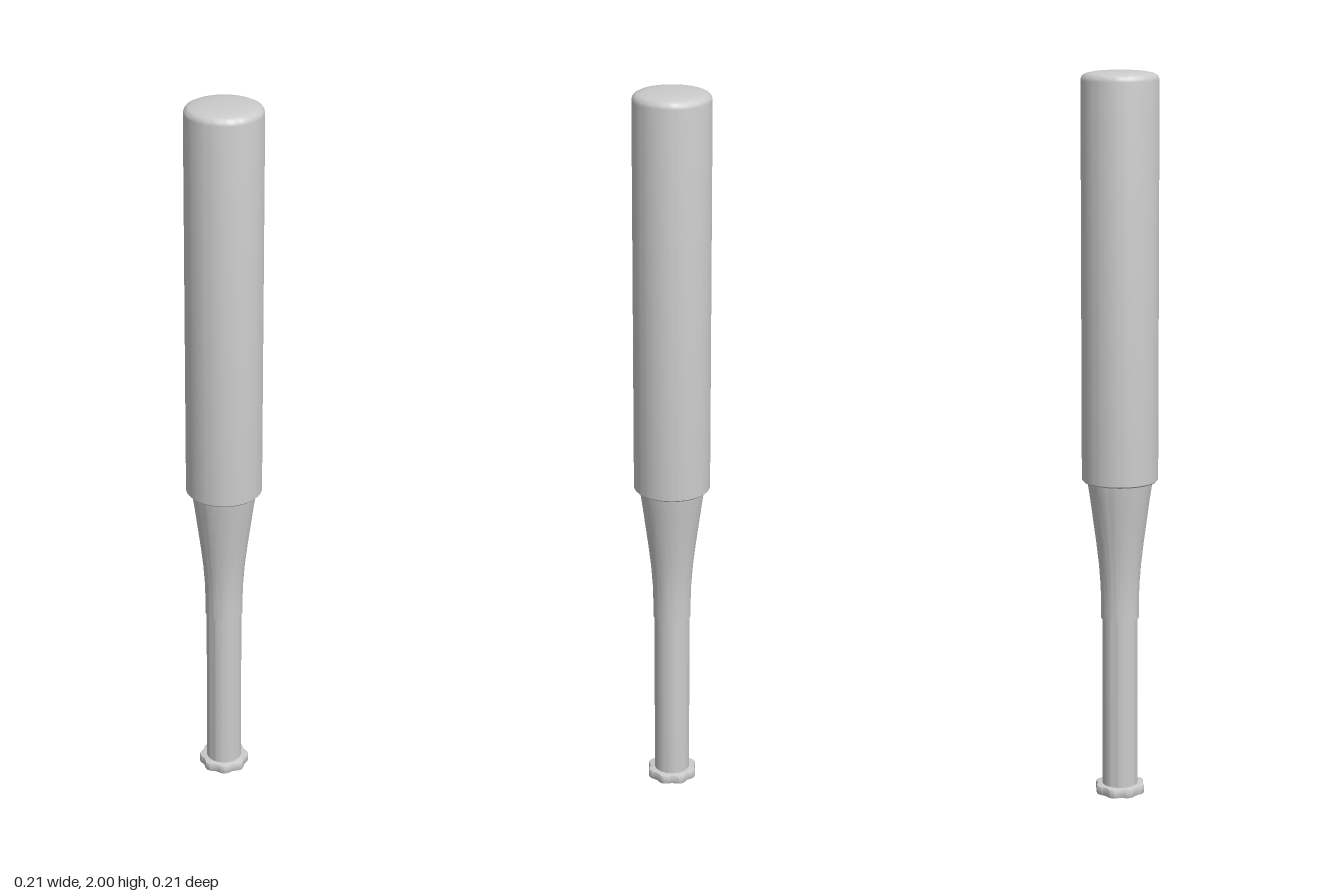
import * as THREE from 'three';
import { toCreasedNormals } from 'three/addons/utils/BufferGeometryUtils.js';

const material = new THREE.MeshStandardMaterial({ color: 0xcccccc });

// Turned part from [radius, height] pairs listed from bottom to top
function turned(name, profile) {
  const points = profile.map(([r, y]) => new THREE.Vector2(r, y));
  const geometry = toCreasedNormals(new THREE.LatheGeometry(points, 64), 0.6);
  const mesh = new THREE.Mesh(geometry, material);
  mesh.name = name;
  return mesh;
}

// Flat knob with a scalloped rim
function createKnob() {
  const lobes = 8, steps = 96, bevel = 0.004;
  const outline = [];
  for (let i = 0; i < steps; i++) {
    const a = (i / steps) * Math.PI * 2;
    const r = 0.0625 + 0.0035 * Math.cos(lobes * a);
    outline.push(new THREE.Vector2(r * Math.cos(a), r * Math.sin(a)));
  }
  const geometry = new THREE.ExtrudeGeometry(new THREE.Shape(outline), {
    depth: 0.026 - 2 * bevel, bevelEnabled: true, bevelThickness: bevel,
    bevelSize: bevel, bevelSegments: 2,
  });
  geometry.rotateX(-Math.PI / 2).translate(0, bevel, 0);
  const mesh = new THREE.Mesh(toCreasedNormals(geometry, 0.6), material);
  mesh.name = 'knob';
  return mesh;
}

export function createModel() {
  const bat = new THREE.Group();
  bat.name = 'bat';

  // Barrel: stepped underside, straight wall, rounded shoulder and shallow domed end
  const barrel = turned('barrel', [
    [0, 0.895], [0.1, 0.895], [0.104, 0.899], [0.104, 1.975], [0.1025, 1.983],
    [0.098, 1.989], [0.09, 1.993], [0.07, 1.997], [0.04, 1.9995], [0, 2],
  ]);

  // Taper: flared neck ending in a thin collar over the grip
  const taper = turned('taper', [
    [0.048, 0.506], [0.052, 0.506], [0.052, 0.55], [0.0535, 0.6], [0.058, 0.66],
    [0.065, 0.72], [0.073, 0.78], [0.081, 0.84], [0.087, 0.88], [0.089, 0.9],
  ]);

  // Grip: plain round handle
  const grip = turned('grip', [[0.049, 0.015], [0.049, 0.515]]);

  bat.add(barrel, taper, grip, createKnob());
  return bat;
}
